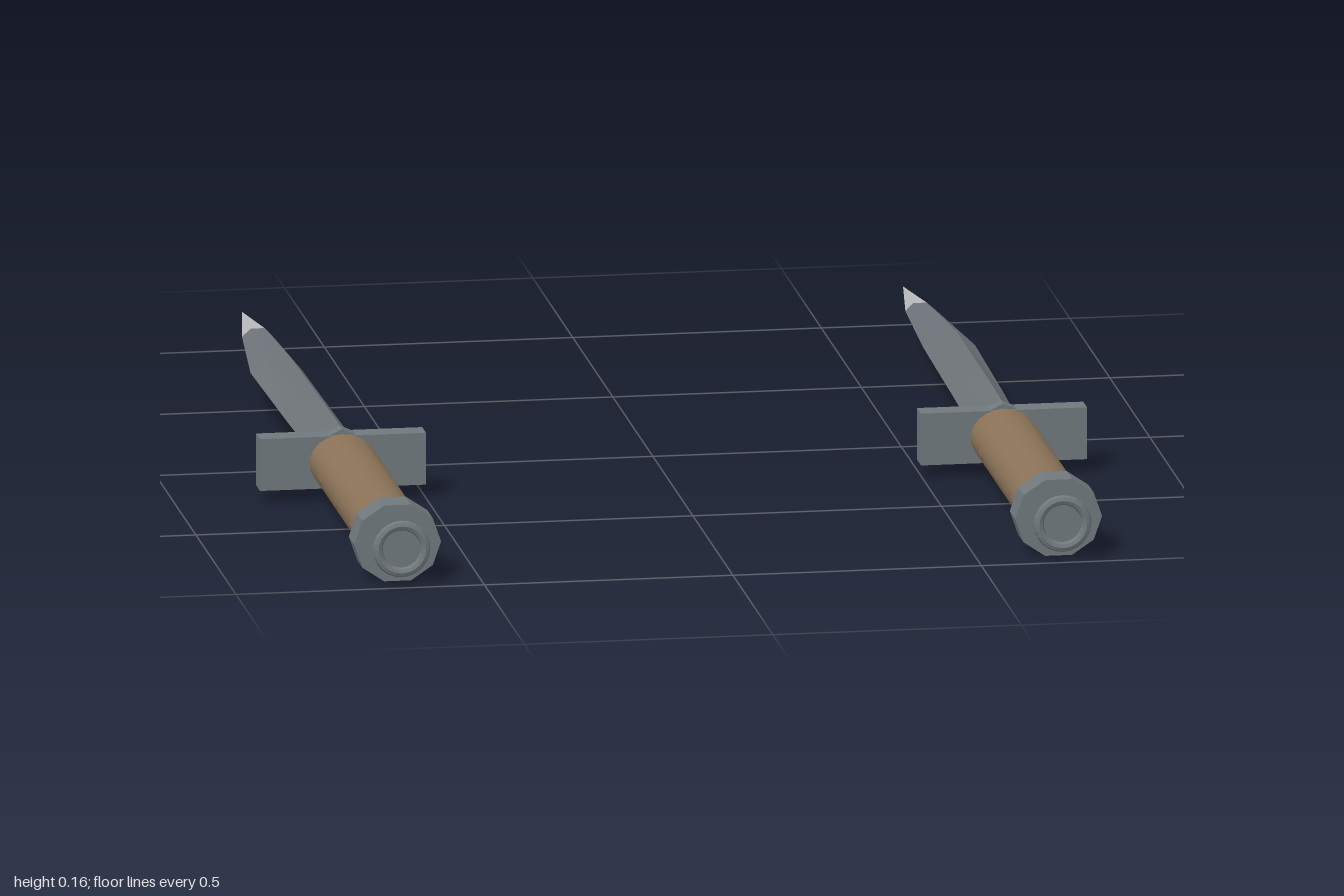
import * as THREE from 'three';

const AXIS_Y = 0.079; // height of the dagger axis

const mat = (name, color, opts = {}) => {
  const m = new THREE.MeshStandardMaterial({ color, ...opts });
  m.name = name;
  return m;
};

// Cylinder along z between z0 and z1, squashed to an elliptical section
function barrel(rx, ry, z0, z1, sides) {
  const g = new THREE.CylinderGeometry(1, 1, z1 - z0, sides);
  g.rotateY(Math.PI / 2);
  g.rotateX(Math.PI / 2);
  g.scale(rx, ry, 1);
  g.translate(0, 0, (z0 + z1) / 2);
  return g;
}

// Faceted blade from cross-sections [z, inner width, outer width, half height]
function bladeLoft(sections, side) {
  const ring = ([z, inner, outer, h]) => [
    [outer, 0], [outer * 0.45, h], [-inner * 0.45, h],
    [-inner, 0], [-inner * 0.45, -h], [outer * 0.45, -h],
  ].map(([x, y]) => [x * side, y, z]);
  const pos = [];
  const tri = (a, b, c) => pos.push(...a, ...(side > 0 ? [...b, ...c] : [...c, ...b]));
  for (let k = 0; k < sections.length - 1; k++) {
    const a = ring(sections[k]), b = ring(sections[k + 1]);
    for (let i = 0; i < 6; i++) {
      const j = (i + 1) % 6;
      tri(a[i], b[i], b[j]);
      tri(a[i], b[j], a[j]);
    }
  }
  const g = new THREE.BufferGeometry();
  g.setAttribute('position', new THREE.Float32BufferAttribute(pos, 3));
  g.computeVertexNormals();
  return g;
}

export function createModel() {
  const steel = mat('steel fittings', 0x70797d, { flatShading: true });
  const bladeSteel = mat('blade steel', 0x6e7479, { flatShading: true });
  const brightSteel = mat('bright tip', 0xb9babc, { flatShading: true });
  const leather = mat('leather grip', 0x8b7358);
  const wrap = mat('grip wrap', 0x78614a);

  function dagger(side) {
    const group = new THREE.Group();
    group.name = side > 0 ? 'leftDagger' : 'rightDagger';
    group.position.set(side * 0.665, AXIS_Y, 0);
    const add = (name, geo, material) => {
      const m = new THREE.Mesh(geo, material);
      m.name = name;
      group.add(m);
      return m;
    };

    // Blade bulges toward the outer side
    const shoulder = [-0.8, 0.028, 0.033, 0.016];
    add('blade', bladeLoft([
      [0.23, 0.053, 0.048, 0.032],
      [-0.1, 0.047, 0.057, 0.03],
      [-0.5, 0.041, 0.064, 0.027],
      shoulder,
    ], side), bladeSteel);
    add('bladeTip', bladeLoft([shoulder, [-1, 0.0005, 0.0005, 0.0005]], side), brightSteel);

    // Crossguard with a collar around the blade root
    const guard = new THREE.BoxGeometry(0.334, 0.106, 0.048);
    guard.translate(0, 0, 0.234);
    add('guard', guard, steel);
    add('collar', barrel(0.06, 0.065, 0.218, 0.25, 8), steel);

    // Grip with tilted wraps showing at its sides
    add('grip', barrel(0.0675, 0.056, 0.255, 0.88, 24), leather);
    for (const z of [0.38, 0.575, 0.775]) {
      const ring = add('gripWrap', new THREE.TorusGeometry(0.067, 0.0065, 6, 20), wrap);
      ring.rotation.x = Math.PI / 2 + 0.22;
      ring.position.z = z;
    }

    // Pommel and the end ring set off behind it
    add('pommel', barrel(0.0875, 0.0815, 0.872, 0.94, 10), steel);
    const endRing = new THREE.TorusGeometry(0.048, 0.01, 8, 24);
    endRing.translate(0, 0, 0.99);
    add('endRing', endRing, steel);
    return group;
  }

  const model = new THREE.Group();
  model.name = 'daggerPair';
  model.add(dagger(1), dagger(-1));
  return model;
}
